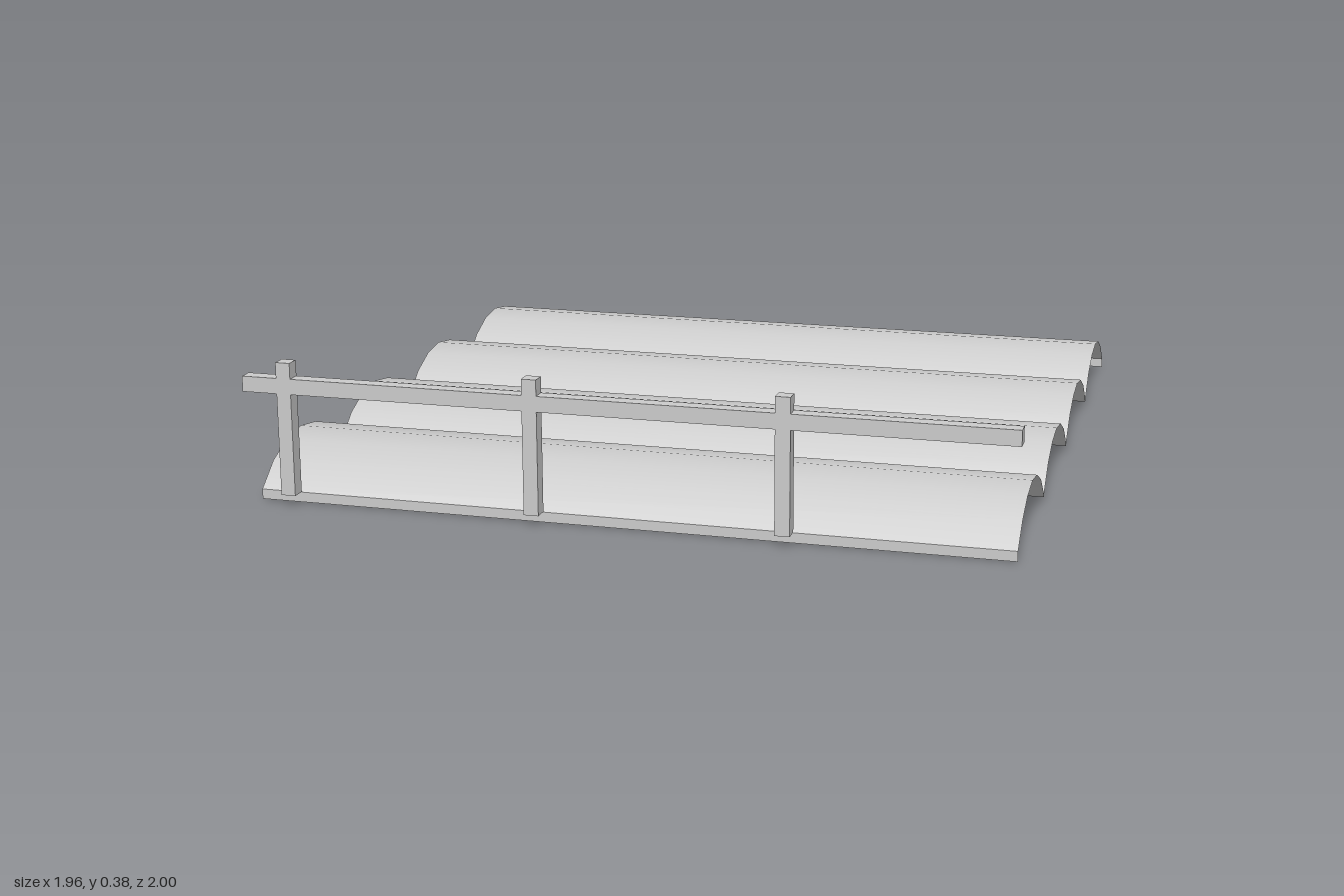
import * as THREE from 'three';

const material = new THREE.MeshStandardMaterial({ color: 0xcccccc });
const sheetMaterial = new THREE.MeshStandardMaterial({ color: 0xcccccc, side: THREE.DoubleSide });

const X0 = -0.965, X1 = 0.975;   // sheet ends
const Z0 = -1, Z1 = 0.953;       // back and front edges
const BAYS = 4, SEGMENTS = 6;
const FOOT = 0.026, CREST = 0.13, GAP = 0.007;

// Cross-section of the vaulted sheet as [z, y] points, back to front
function vaultProfile() {
  const points = [];
  const pitch = (Z1 - Z0) / BAYS;
  for (let bay = 0; bay < BAYS; bay++) {
    const start = Z0 + bay * pitch + (bay > 0 ? GAP : 0);
    const end = Z0 + (bay + 1) * pitch - (bay < BAYS - 1 ? GAP : 0);
    const half = (end - start) / 2, rise = CREST - FOOT;
    const radius = (half * half + rise * rise) / (2 * rise);
    const sweep = Math.asin(half / radius);
    for (let i = 0; i <= SEGMENTS; i++) {
      const a = -sweep + (2 * sweep * i) / SEGMENTS;
      points.push([start + half + radius * Math.sin(a), CREST - radius * (1 - Math.cos(a))]);
    }
    // narrow gutter between neighbouring vaults
    if (bay < BAYS - 1) points.push([end + GAP, FOOT - 0.014]);
  }
  return points;
}

// Sweep a cross-section along x
function sheet(name, profile) {
  const positions = [], index = [];
  profile.forEach(([z, y], i) => {
    positions.push(X0, y, z, X1, y, z);
    if (i > 0) {
      const a = 2 * (i - 1);
      index.push(a, a + 2, a + 1, a + 1, a + 2, a + 3);
    }
  });
  const geometry = new THREE.BufferGeometry();
  geometry.setAttribute('position', new THREE.Float32BufferAttribute(positions, 3));
  geometry.setIndex(index);
  geometry.computeVertexNormals();
  const mesh = new THREE.Mesh(geometry, sheetMaterial);
  mesh.name = name;
  return mesh;
}

function box(name, x0, x1, y0, y1, z0, z1) {
  const mesh = new THREE.Mesh(new THREE.BoxGeometry(x1 - x0, y1 - y0, z1 - z0), material);
  mesh.position.set((x0 + x1) / 2, (y0 + y1) / 2, (z0 + z1) / 2);
  mesh.name = name;
  return mesh;
}

export function createModel() {
  const group = new THREE.Group();
  group.name = 'vaultedRoof';

  // Vaulted sheet with a turned-down lip at each outer edge
  group.add(sheet('vaults', vaultProfile()));
  group.add(sheet('backLip', [[Z0, 0], [Z0, FOOT]]));
  group.add(sheet('frontLip', [[Z1, FOOT], [Z1, 0]]));

  // Railing along the front edge
  const railing = new THREE.Group();
  railing.name = 'railing';
  railing.add(box('rail', -0.982, 0.982, 0.295, 0.335, 0.962, 1));
  for (const x of [-0.87, -0.22, 0.415]) {
    railing.add(box('post', x - 0.019, x + 0.019, 0.03, 0.376, 0.962, 1));
  }
  group.add(railing);
  return group;
}
